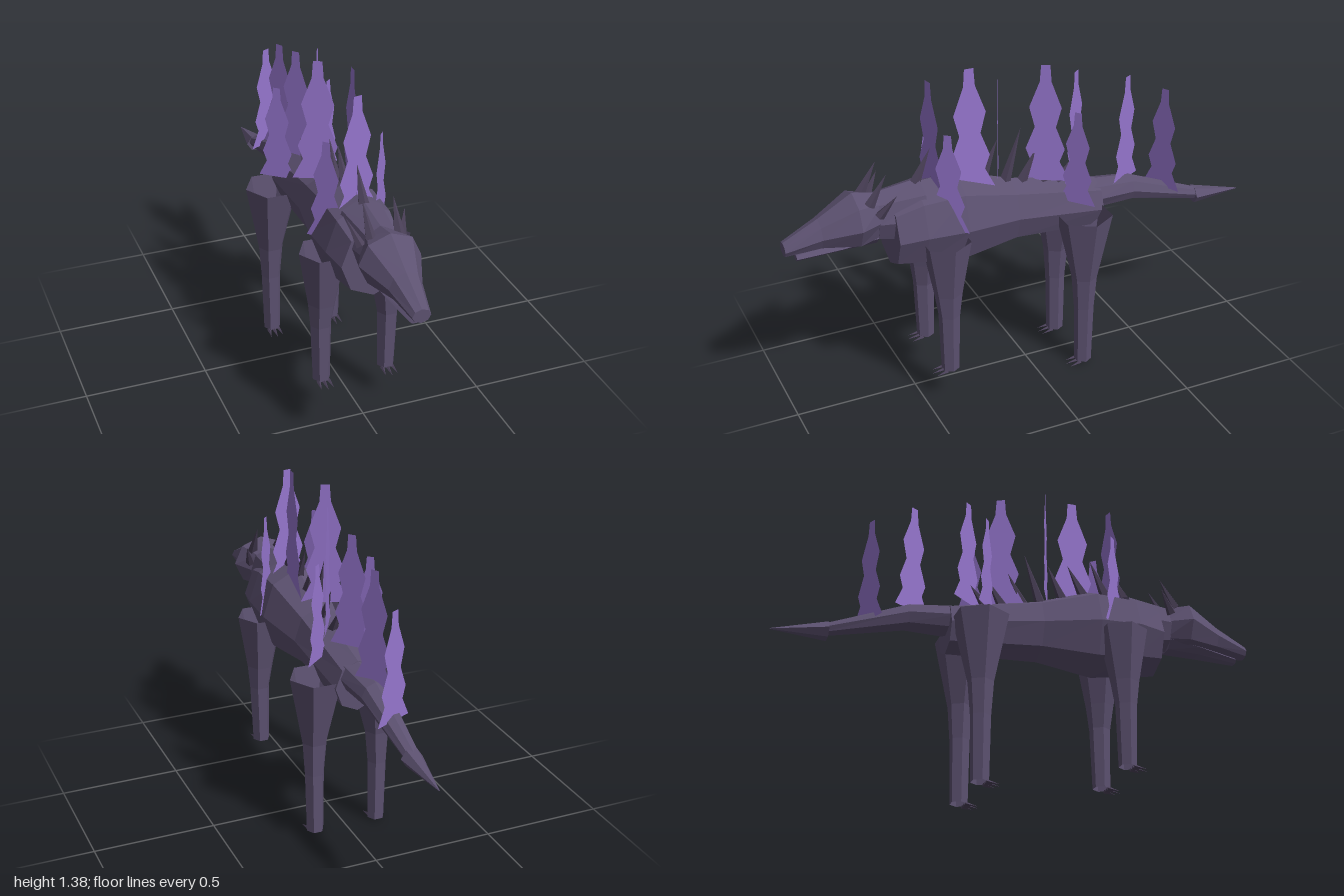
import * as THREE from 'three';

const hide = new THREE.MeshStandardMaterial({ name: 'duskyHide', color: 0x5c5170, flatShading: true, side: THREE.DoubleSide });
const horn = new THREE.MeshStandardMaterial({ name: 'darkHorn', color: 0x4a4058, flatShading: true });
const flame = new THREE.MeshStandardMaterial({ name: 'violetFlame', color: 0x9575cd, flatShading: true, side: THREE.DoubleSide });

// Skin over elliptical rings [z, x, y, radiusX, radiusY], ordered from high z to low z
function loft(rings, sides, capped = true) {
  const pos = [], idx = [];
  for (const [z, cx, cy, rx, ry] of rings)
    for (let j = 0; j < sides; j++) {
      const a = (j / sides) * Math.PI * 2;
      pos.push(cx + rx * Math.cos(a), cy + ry * Math.sin(a), z);
    }
  const last = (rings.length - 1) * sides;
  for (let i = 0; i < rings.length - 1; i++)
    for (let j = 0; j < sides; j++) {
      const k = (j + 1) % sides, a = i * sides + j, b = i * sides + k;
      idx.push(a, a + sides, b + sides, a, b + sides, b);
    }
  if (capped)
    for (let j = 1; j < sides - 1; j++) {
      idx.push(0, j, j + 1);
      idx.push(last, last + j + 1, last + j);
    }
  let geo = new THREE.BufferGeometry();
  geo.setAttribute('position', new THREE.Float32BufferAttribute(pos, 3));
  geo.setIndex(idx);
  geo = geo.toNonIndexed();
  geo.computeVertexNormals();
  return geo;
}

// Ring given by bottom and top heights
const ring = (z, bottom, top, rx) => [z, 0, (bottom + top) / 2, rx, (top - bottom) / 2];

// Pointed cone from a base point to a tip
function spike(base, tip, radius, sides = 5) {
  const a = new THREE.Vector3(...base), b = new THREE.Vector3(...tip);
  const dir = b.clone().sub(a), len = dir.length();
  const geo = new THREE.ConeGeometry(radius, len, sides);
  geo.applyQuaternion(new THREE.Quaternion().setFromUnitVectors(new THREE.Vector3(0, 1, 0), dir.normalize()));
  geo.translate((a.x + b.x) / 2, (a.y + b.y) / 2, (a.z + b.z) / 2);
  return geo;
}

// Flat wavy flame, proportional to its height
function flameGeometry(height) {
  const outline = [[1, 0], [0.58, 0.17], [0.78, 0.28], [0.42, 0.47], [0.64, 0.64], [0.23, 0.86], [0.18, 1]];
  const right = outline.map(([w, t]) => new THREE.Vector2(w * 0.2 * height, t * height));
  const left = right.map(p => new THREE.Vector2(-p.x, p.y)).reverse();
  return new THREE.ShapeGeometry(new THREE.Shape([...right, ...left]));
}

export function createModel() {
  const model = new THREE.Group();
  model.name = 'spinedBeast';
  const add = (name, geo, mat, parent = model) => {
    const mesh = new THREE.Mesh(geo, mat);
    mesh.name = name;
    parent.add(mesh);
    return mesh;
  };

  // Body
  add('torso', loft([ring(0.58, 0.61, 0.9, 0.13), ring(0.47, 0.59, 0.94, 0.15), ring(0.3, 0.565, 0.95, 0.152),
    ring(0.07, 0.6, 0.87, 0.107), ring(-0.31, 0.58, 0.79, 0.092)], 8), hide);
  add('neck', loft([ring(0.64, 0.73, 0.93, 0.08), ring(0.45, 0.69, 0.955, 0.11)], 8), hide);
  add('tail', loft([ring(-0.28, 0.66, 0.79, 0.075), ring(-0.47, 0.66, 0.77, 0.057),
    ring(-0.8, 0.585, 0.635, 0.03)], 8), hide);
  add('tailTip', loft([ring(-0.78, 0.57, 0.645, 0.043), ring(-1, 0.583, 0.587, 0.002)], 6), hide);

  // Head
  add('head', loft([ring(1, 0.745, 0.8, 0.036), ring(0.86, 0.75, 0.87, 0.065),
    ring(0.72, 0.73, 0.95, 0.122), ring(0.62, 0.74, 0.93, 0.072)], 8), hide);
  add('lowerJaw', loft([ring(0.955, 0.715, 0.742, 0.026), ring(0.78, 0.725, 0.77, 0.055),
    ring(0.64, 0.725, 0.8, 0.06)], 6), hide);
  for (const s of [-1, 1]) {
    add('horn', spike([s * 0.055, 0.91, 0.67], [s * 0.06, 1.03, 0.6], 0.022), horn);
    add('earSpike', spike([s * 0.08, 0.87, 0.64], [s * 0.115, 0.96, 0.58], 0.02), horn);
  }

  // Row of spines leaning backward: base z, base y, tip height
  const spines = [[0.47, 0.93, 1.07], [0.38, 0.94, 1.1], [0.28, 0.93, 1.06], [0.19, 0.89, 1.05],
    [0.09, 0.86, 1.08], [0.02, 0.84, 0.98], [-0.07, 0.82, 0.94], [-0.14, 0.81, 0.9]];
  for (const [z, y, tip] of spines)
    add('spine', spike([0, y, z], [0, tip, z - 0.07], 0.024), horn);

  // Legs: hollow hexagonal tubes with three claws each
  const legs = [
    { name: 'frontLeg', z: 0.395, foot: 0.147, rings: [[0.73, 0.1, 0.128], [0.5, 0.057, 0.135], [0.4, 0.043, 0.14], [0.147, 0.036, 0.137]] },
    { name: 'hindLeg', z: -0.203, foot: 0.018, rings: [[0.705, 0.115, 0.123], [0.42, 0.052, 0.135], [0.28, 0.041, 0.137], [0.018, 0.036, 0.135]] },
  ];
  for (const leg of legs)
    for (const s of [-1, 1]) {
      const group = new THREE.Group();
      group.name = leg.name;
      const geo = loft(leg.rings.map(([y, r, x]) => [y, s * x, -leg.z, r, r]), 6, false);
      geo.rotateX(-Math.PI / 2);
      add('legTube', geo, hide, group);
      for (const c of [-1, 0, 1])
        add('claw', spike([s * 0.136 + c * 0.02, leg.foot - 0.002, leg.z + 0.02],
          [s * 0.136 + c * 0.026, leg.foot - 0.01, leg.z + (c ? 0.07 : 0.08)], 0.009, 4), horn, group);
      model.add(group);
    }

  // Upright flames: x, z, bottom, top, turn in degrees
  const flames = [[0, 0.4, 0.87, 1.345, 12], [0.04, 0.25, 0.87, 1.385, 88], [-0.04, 0.1, 0.87, 1.365, -25],
    [0.025, -0.075, 0.84, 1.335, 60], [-0.01, -0.225, 0.815, 1.27, -52], [0, -0.45, 0.75, 1.21, -60], [0, -0.625, 0.68, 1.12, 25]];
  for (const s of [-1, 1])
    flames.push([s * 0.11, 0.37, 0.76, 1.165, s * 48], [s * 0.11, -0.175, 0.755, 1.15, s * 40]);
  for (const [x, z, bottom, top, turn] of flames) {
    const mesh = add('flame', flameGeometry(top - bottom), flame);
    mesh.position.set(x, bottom, z);
    mesh.rotation.y = THREE.MathUtils.degToRad(turn);
  }
  return model;
}
